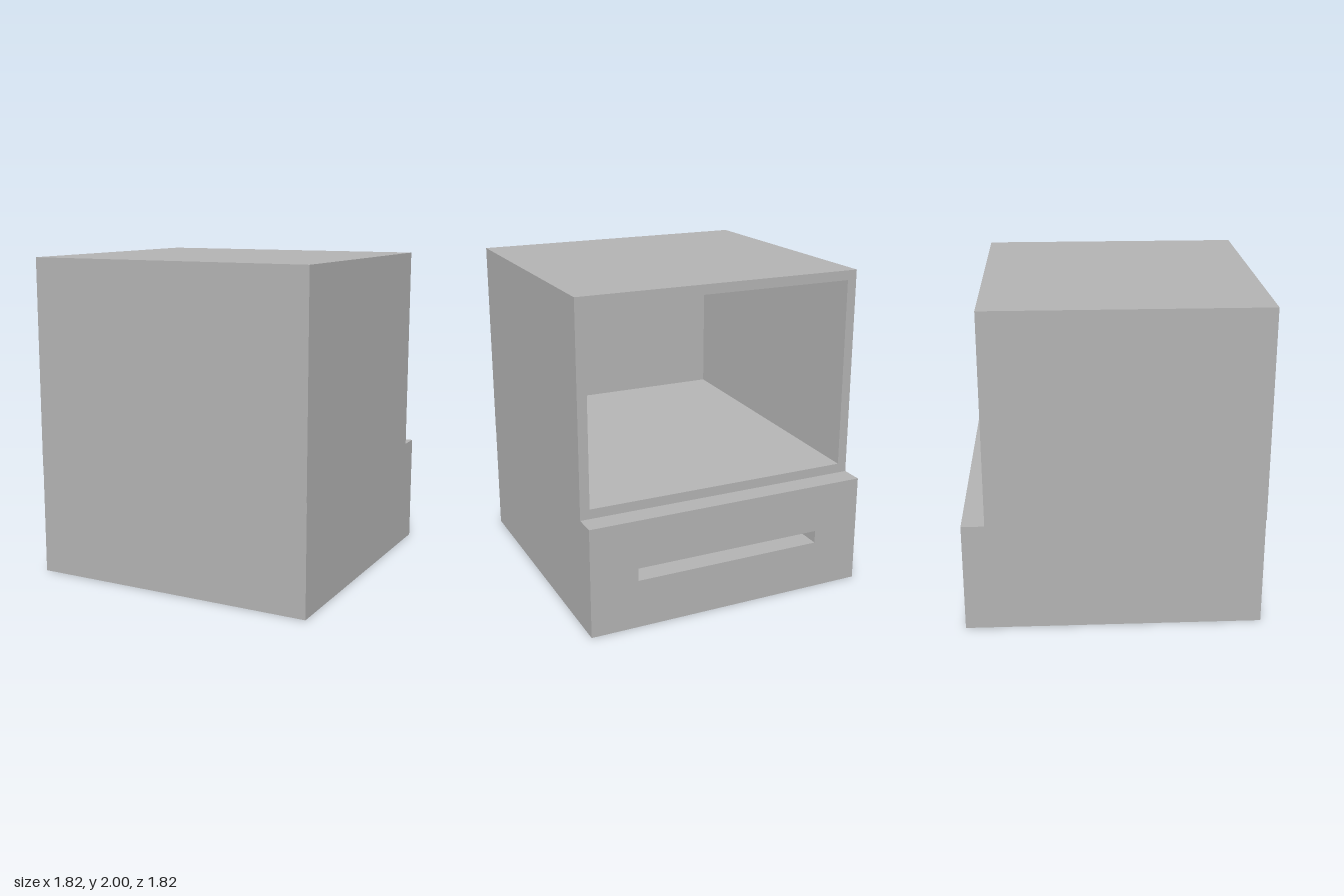
import * as THREE from 'three';

// Closed block lofted through rectangles [halfWidth, bottom, top, z], from the front cap to the pocket floor
function loftRectangles(rects) {
  const rings = rects.map(([w, y0, y1, z]) => [[-w, y0, z], [w, y0, z], [w, y1, z], [-w, y1, z]]);
  const positions = [];
  const quad = (a, b, c, d) => positions.push(...a, ...b, ...c, ...a, ...c, ...d);
  const first = rings[0];
  const last = rings[rings.length - 1];
  quad(first[0], first[1], first[2], first[3]);
  for (let i = 0; i < rings.length - 1; i++) {
    for (let j = 0; j < 4; j++) {
      const k = (j + 1) % 4;
      quad(rings[i][j], rings[i + 1][j], rings[i + 1][k], rings[i][k]);
    }
  }
  quad(last[0], last[3], last[2], last[1]);
  const geometry = new THREE.BufferGeometry();
  geometry.setAttribute('position', new THREE.Float32BufferAttribute(positions, 3));
  geometry.computeVertexNormals();
  return geometry;
}

export function createModel() {
  const group = new THREE.Group();
  const grey = new THREE.MeshStandardMaterial({ color: 0xb2b2b2 });
  grey.name = 'plain grey';

  const addPart = (name, rects) => {
    const mesh = new THREE.Mesh(loftRectangles(rects), grey);
    mesh.name = name;
    group.add(mesh);
  };

  const half = 0.91;
  const split = 0.69;  // height where the cubby sits on the base
  const wall = 0.06;
  const taper = 0.127; // narrowing of the cubby towards its inner end

  // Open cubby, its opening facing -z
  const w = half - wall, y0 = split + wall, y1 = 2 - wall;
  addPart('cubby', [
    [half, split, 2, 0.91],
    [half, split, 2, -0.77],
    [w, y0, y1, -0.77],
    [w - taper, y0 + taper, y1 - taper, 0.88],
  ]);

  // Base block with the long handle slot
  addPart('drawerBase', [
    [half, 0, split, 0.907],
    [half, 0, split, -0.91],
    [0.607, 0.305, 0.385, -0.91],
    [0.607, 0.305, 0.385, -0.6],
  ]);

  return group;
}
